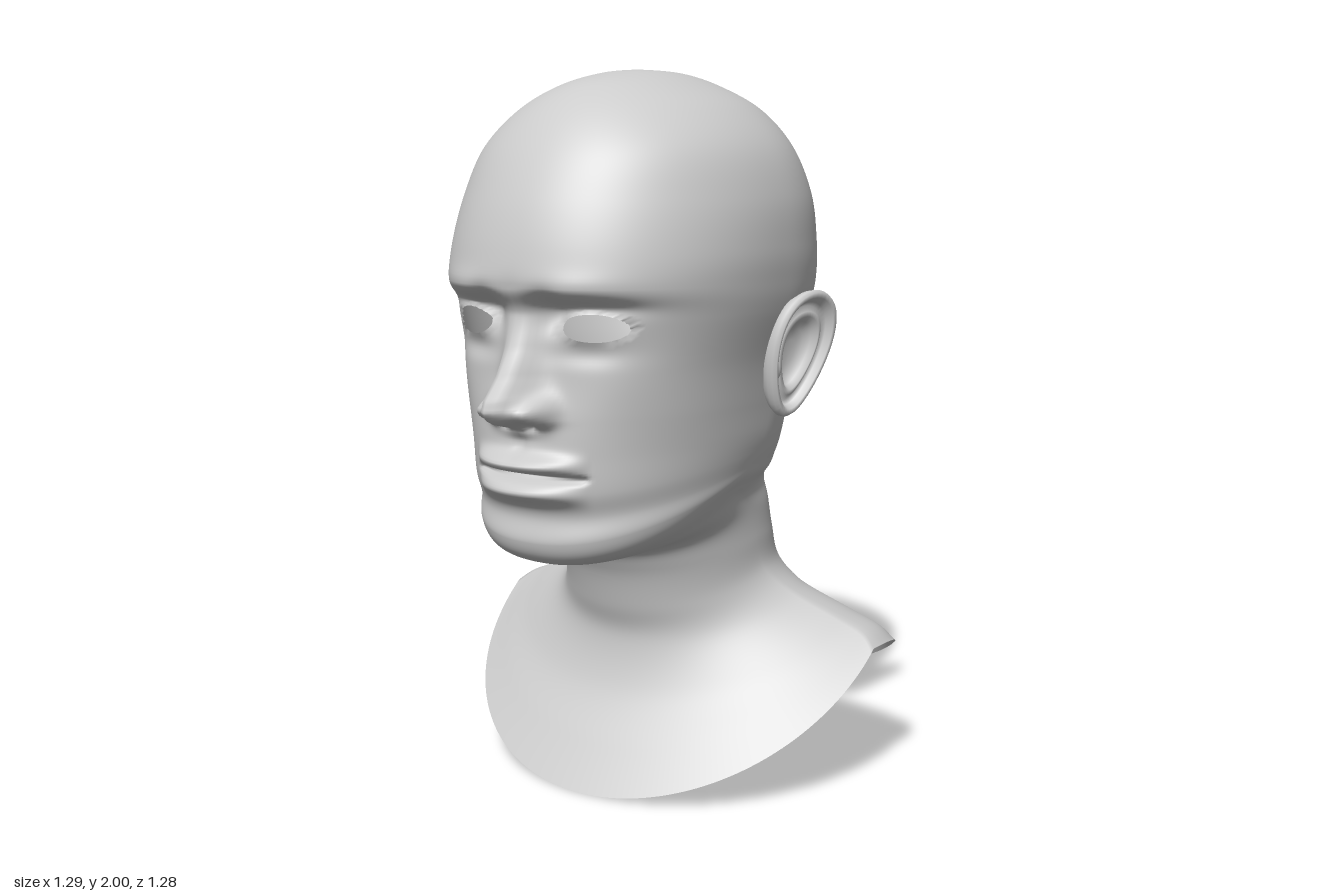
import * as THREE from 'three';

const material = new THREE.MeshStandardMaterial({ color: 0xcccccc, side: THREE.DoubleSide });

// Each ring: front y, front z, half width, side y, side z, back y, back z, front squareness
const headRings = [
  [2.0, -0.02, 0, 2.0, -0.02, 2.0, -0.02, 2],
  [1.99, 0.09, 0.1, 1.99, -0.04, 1.99, -0.17, 2],
  [1.955, 0.23, 0.2, 1.955, -0.05, 1.955, -0.29, 2],
  [1.89, 0.34, 0.315, 1.89, -0.05, 1.89, -0.405, 2],
  [1.79, 0.43, 0.405, 1.79, -0.06, 1.79, -0.48, 2.1],
  [1.66, 0.5, 0.453, 1.66, -0.07, 1.66, -0.54, 2.1],
  [1.53, 0.54, 0.466, 1.53, -0.07, 1.53, -0.568, 2.2],
  [1.44, 0.545, 0.462, 1.44, -0.08, 1.44, -0.572, 2.3],
  [1.36, 0.497, 0.45, 1.36, -0.08, 1.36, -0.555, 2.4],
  [1.22, 0.49, 0.417, 1.22, -0.08, 1.22, -0.505, 2.4],
  [1.1, 0.5, 0.4, 1.1, -0.09, 1.12, -0.47, 2.4],
  [1.0, 0.505, 0.39, 1.02, -0.08, 1.03, -0.447, 2.3],
  [0.9, 0.5, 0.38, 0.97, -0.07, 0.97, -0.442, 2.3],
  [0.83, 0.478, 0.37, 0.93, -0.05, 0.93, -0.441, 2.3],
  [0.76, 0.485, 0.362, 0.9, -0.03, 0.9, -0.441, 2.3],
  [0.705, 0.45, 0.343, 0.865, -0.01, 0.88, -0.442, 2.3],
  [0.685, 0.36, 0.323, 0.83, -0.06, 0.85, -0.445, 2.2],
  [0.685, 0.2, 0.315, 0.78, -0.13, 0.8, -0.449, 2],
];
const neckRings = [
  [0.62, 0.14, 0.315, 0.7, -0.17, 0.7, -0.46, 2],
  [0.5, 0.1, 0.325, 0.6, -0.2, 0.6, -0.485, 2],
  [0.4, 0.075, 0.39, 0.53, -0.24, 0.5, -0.525, 2],
  [0.26, 0.11, 0.52, 0.47, -0.27, 0.4, -0.57, 2],
  [0.12, 0.2, 0.6, 0.435, -0.28, 0.3, -0.605, 2],
  [0, 0.28, 0.645, 0.4, -0.26, 0.19, -0.635, 2],
];
const rings = [...headRings, ...neckRings];

// Nose: height, how far it stands out, half width
const nose = [
  [1.44, 0, 0.05], [1.37, 0.015, 0.045], [1.28, 0.057, 0.05], [1.21, 0.1, 0.055], [1.155, 0.146, 0.062],
  [1.125, 0.152, 0.066], [1.095, 0.12, 0.068], [1.07, 0.02, 0.06], [1.04, 0, 0.05],
];

const bump = (x, y, cx, cy, sx, sy) => Math.exp(-(((x - cx) / sx) ** 2) - ((y - cy) / sy) ** 2);

function catmull(p, i, t, c) {
  const at = (k) => p[Math.min(Math.max(k, 0), p.length - 1)][c];
  const [a, b, d, e] = [at(i - 1), at(i), at(i + 1), at(i + 2)];
  return b + 0.5 * t * (d - a + t * (2 * a - 5 * b + 4 * d - e + t * (3 * (b - d) + e - a)));
}

// Forward relief of the facial features
function faceRelief(x, y) {
  const ax = Math.abs(x);
  let d = 0;
  const k = nose.findIndex((n, i) => i > 0 && y <= nose[i - 1][0] && y > n[0]);
  if (k > 0) {
    const [a, b] = [nose[k - 1], nose[k]];
    const t = (a[0] - y) / (a[0] - b[0]);
    d += (a[1] + (b[1] - a[1]) * t) * Math.exp(-((x / (a[2] + (b[2] - a[2]) * t)) ** 2));
  }
  d += 0.055 * bump(ax, y, 0.08, 1.12, 0.028, 0.035); // nostril wings
  d -= 0.04 * bump(ax, y, 0.042, 1.085, 0.022, 0.012); // nostrils
  d -= 0.035 * bump(ax, y, 0.1, 1.37, 0.04, 0.05); // inner eye corners
  d -= 0.022 * bump(ax, y, 0.2, 1.388, 0.1, 0.022); // upper lid folds
  d -= 0.012 * bump(ax, y, 0.18, 1.27, 0.09, 0.03); // lower lid folds
  d += 0.012 * bump(ax, y, 0.2, 1.34, 0.08, 0.035); // lids
  d += 0.012 * bump(ax, y, 0.18, 1.44, 0.13, 0.035); // brows
  d += 0.012 * bump(ax, y, 0.27, 1.2, 0.09, 0.09); // cheekbones
  const taper = Math.max(0, 1 - (x / 0.185) ** 2);
  d += 0.058 * taper * bump(0, y, 0, 0.978, 1, 0.024); // upper lip
  d += 0.045 * taper * bump(0, y, 0, 0.903, 1, 0.028); // lower lip
  d -= 0.045 * Math.sqrt(taper) * bump(0, y, 0, 0.943, 1, 0.009); // mouth line
  d -= 0.008 * bump(x, y, 0, 1.025, 0.018, 0.03); // lip groove
  return d;
}

// Elliptical distance from the eye opening's middle: 1 on its edge
const EYE = { x: 0.2, y: 1.338, rx: 0.082, ry: 0.036 };
const eyeDistance = (x, y) => Math.hypot((Math.abs(x) - EYE.x) / EYE.rx, (y - EYE.y) / EYE.ry);

function skinPoint(i, t, angle) {
  const [yf, zf, w, ys, zs, yb, zb, nf] = rings[0].map((_, c) => catmull(rings, i, t, c));
  const s = Math.sin(angle), c = Math.cos(angle), front = c >= 0;
  const n = front ? nf : 2 + Math.max(0, i + t - 20) / 3;
  let x = w * Math.sign(s) * Math.abs(s) ** (2 / n);
  const reach = Math.abs(c) ** (2 / n);
  let y = front ? ys + (yf - ys) * c : ys + (yb - ys) * c * c;
  let z = zs + ((front ? zf : zb) - zs) * reach;
  if (c > 0.15 && y > 0.75 && y < 1.6 && i < 16) {
    const e = eyeDistance(x, y);
    if (e > 0.84 && e < 1.16) { // pull nearby points onto the eye opening's edge
      const cx = Math.sign(x) * EYE.x;
      x = cx + (x - cx) / e;
      y = EYE.y + (y - EYE.y) / e;
    }
    z += faceRelief(x, y);
  }
  return [x, y, z];
}

function buildGeometry(points, index) {
  const g = new THREE.BufferGeometry();
  g.setAttribute('position', new THREE.Float32BufferAttribute(points, 3));
  g.setIndex(index);
  g.computeVertexNormals();
  return g;
}

// Skin of head, neck and shoulders in one loft, with open eyes and an open base
function skinGeometry() {
  const F = 120, B = 60, N = F + B, points = [], index = [];
  let rows = 0;
  const addRow = (i, t) => {
    for (let j = 0; j < N; j++) {
      const angle = j < F ? -Math.PI / 2 + (Math.PI * j) / F : Math.PI / 2 + (Math.PI * (j - F)) / B;
      points.push(...skinPoint(i, t, angle));
    }
    rows++;
  };
  for (let i = 0; i < rings.length - 1; i++) {
    const steps = i >= 7 && i <= 13 ? 16 : 8;
    for (let k = 0; k < steps; k++) addRow(i, k / steps);
  }
  addRow(rings.length - 2, 1);
  const inEye = (v) => points[v * 3 + 2] > 0.2 && eyeDistance(points[v * 3], points[v * 3 + 1]) < 1.001;
  const addFace = (...f) => { if (!f.every(inEye)) index.push(...f); };
  for (let r = 0; r < rows - 1; r++) {
    for (let j = 0; j < N; j++) {
      const a = r * N + j, b = r * N + ((j + 1) % N);
      addFace(a, a + N, b);
      addFace(b, a + N, b + N);
    }
  }
  return buildGeometry(points, index);
}

// Ear: loops running from behind, over the rolled rim and into the bowl
function earGeometry() {
  const profile = [
    [0.5, -0.1], [0.72, -0.06], [0.92, -0.03], [0.99, -0.012], [1, 0.004], [0.96, 0.015], [0.88, 0.013],
    [0.81, -0.004], [0.75, -0.012], [0.66, -0.004], [0.58, -0.002], [0.5, -0.018], [0.38, -0.03], [0.2, -0.034], [0, -0.034],
  ];
  const N = 48, points = [], index = [];
  for (const [scale, lift] of profile) {
    for (let j = 0; j < N; j++) {
      const a = (j / N) * Math.PI * 2;
      const v = 0.172 * scale * Math.sin(a);
      const u = 0.09 * scale * Math.cos(a) * (1 + 0.28 * Math.sin(a));
      points.push(0.475 + 0.35 * u + 0.17 * v + lift, 1.238 + v, -0.108 - u - 0.16 * v);
    }
  }
  for (let r = 0; r < profile.length - 1; r++) {
    for (let j = 0; j < N; j++) {
      const a = r * N + j, b = r * N + ((j + 1) % N);
      index.push(a, b, a + N, b, b + N, a + N);
    }
  }
  return buildGeometry(points, index);
}

export function createModel() {
  const model = new THREE.Group();
  model.name = 'headBust';
  const add = (name, geometry, parent) => {
    const mesh = new THREE.Mesh(geometry, material);
    mesh.name = name;
    parent.add(mesh);
    return mesh;
  };
  add('headAndNeck', skinGeometry(), model);

  // Ears, mirrored
  const ear = earGeometry();
  const flap = new THREE.SphereGeometry(1, 16, 12);
  for (const side of [1, -1]) {
    const group = new THREE.Group();
    group.name = side > 0 ? 'leftEar' : 'rightEar';
    add('earShell', ear, group);
    const tragus = add('earFlap', flap, group);
    tragus.scale.set(0.014, 0.03, 0.018);
    tragus.position.set(0.44, 1.2, -0.045);
    group.scale.x = side;
    model.add(group);
  }
  return model;
}
